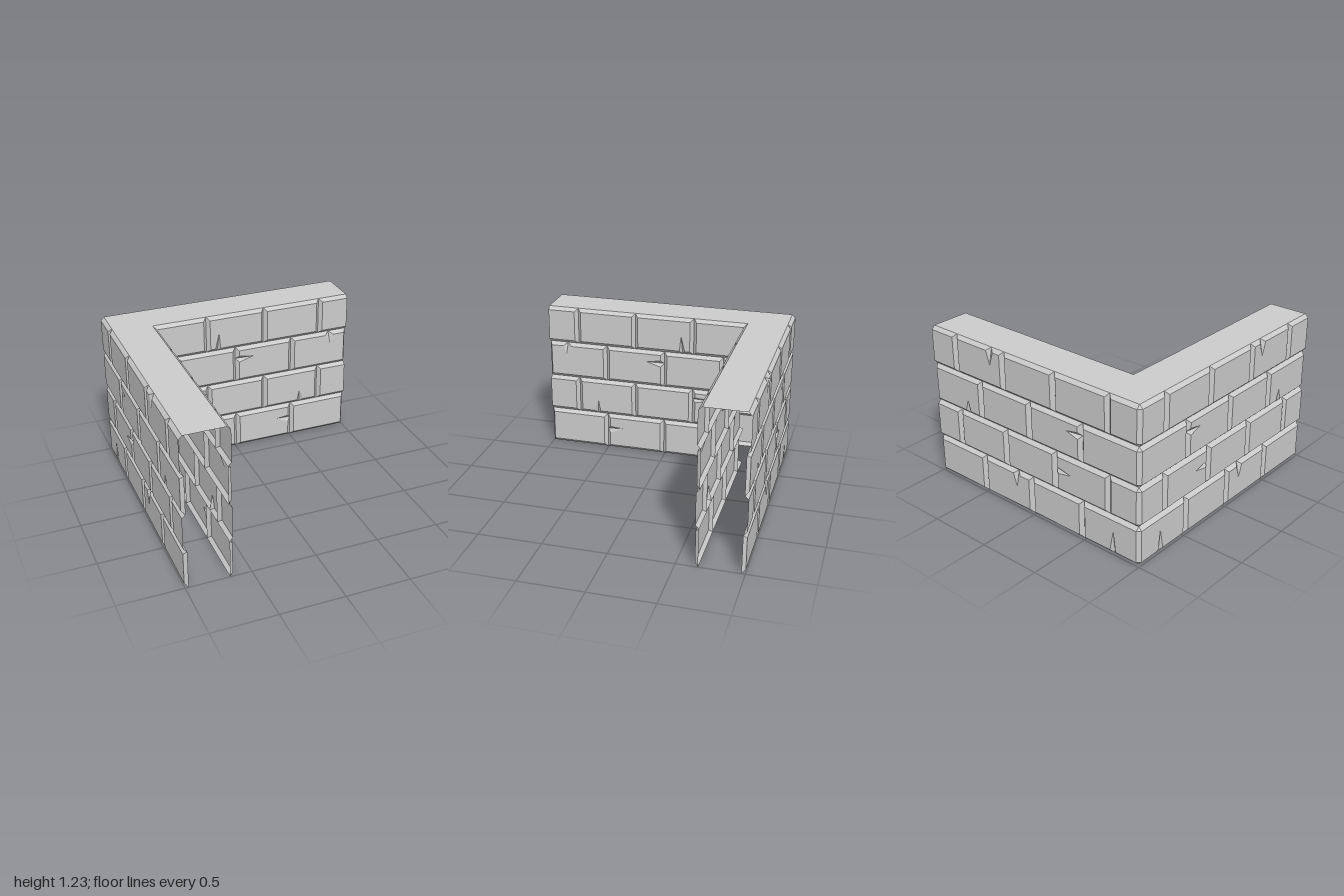
import * as THREE from 'three';

const H = 1.23, ROWS = 4, ROW = H / ROWS;
const B = 0.027;                      // bevel width and brick relief
const OUT = -0.973, IN = -0.665;      // joint planes of the outer and inner skins

// Vertical joints for even and odd courses
const JOINTS = {
  inner: [[-0.48, 0.013, 0.505], [-0.23, 0.26, 0.75]],
  outer: [[-0.48, 0.013, 0.505], [-0.725, -0.23, 0.26, 0.75]],
};

// Chips: row, edge (0 bottom, 1 right, 2 top, 3 left), place on edge, half width, tip
const CHIPS = {
  inner: [
    [3, 0, -0.14, 0.022, [-0.13, 1.08]],
    [2, 3, 0.82, 0.027, [0.16, 0.83]],
    [2, 2, 0.845, 0.035, [0.855, 0.82]],
    [1, 1, 0.53, 0.022, [-0.4, 0.54]],
    [1, 0, 0.59, 0.028, [0.58, 0.43]],
    [0, 1, 0.17, 0.03, [0.37, 0.19]],
  ],
  outer: [
    [3, 2, 0.385, 0.035, [0.385, 1.1]],
    [2, 3, 0.825, 0.027, [-0.35, 0.83]],
    [2, 0, 0.65, 0.025, [0.65, 0.73]],
    [1, 1, 0.48, 0.025, [-0.38, 0.48]],
    [0, 2, 0.165, 0.035, [0.165, 0.18]],
    [0, 0, -0.765, 0.026, [-0.77, 0.19]],
  ],
};

const material = new THREE.MeshStandardMaterial({
  color: 0xcccccc, flatShading: true, side: THREE.DoubleSide,
});

function meshFromTriangles(name, triangles) {
  const geometry = new THREE.BufferGeometry();
  geometry.setAttribute('position', new THREE.Float32BufferAttribute(triangles.flat(2), 3));
  geometry.computeVertexNormals();
  const mesh = new THREE.Mesh(geometry, material);
  mesh.name = name;
  return mesh;
}

// One bevelled brick in wall space (u along, v up, d outward), with optional chips.
// left and right are bevel insets; an edge with open[i] set has no bevel face.
function brick(u0, u1, v0, v1, left, right, open, chips) {
  const base = [[u0, v0], [u1, v0], [u1, v1], [u0, v1]].map(p => [...p, 0]);
  const a = u0 + left, b = u1 - right, c = v0 + B, e = v1 - B;
  const face = [[a, c], [b, c], [b, e], [a, e]].map(p => [...p, B]);
  const tris = [], outline = [];
  const quad = (p, q, r, s) => tris.push([p, q, r], [p, r, s]);

  for (let i = 0; i < 4; i++) {
    const j = (i + 1) % 4;
    outline.push(face[i]);
    const chip = chips.find(k => k[1] === i);
    if (chip) {
      // V-shaped notch that runs from the joint to a point on the face
      const [, , place, w, tip] = chip;
      const at = (p, value) => p.map((x, k) => (k === i % 2 ? value : x));
      const s = i < 2 ? 1 : -1;
      const A = at(face[i], place - s * w), C = at(face[i], place + s * w);
      const V = at(base[i], place), T = [...tip, B];
      quad(base[i], V, A, face[i]);
      quad(V, base[j], face[j], C);
      tris.push([V, T, A], [V, C, T]);
      outline.push(A, T, C);
    } else if (!open[i]) {
      quad(base[i], base[j], face[j], face[i]);
    }
  }

  // Front face around the notches
  const flat = outline.map(p => new THREE.Vector2(p[0], p[1]));
  for (const [i, j, k] of THREE.ShapeUtils.triangulateShape(flat, [])) {
    const ccw = flat[j].clone().sub(flat[i]).cross(flat[k].clone().sub(flat[i])) > 0;
    tris.push(ccw ? [outline[i], outline[j], outline[k]] : [outline[i], outline[k], outline[j]]);
  }
  return tris;
}

// One skin of a wing; swapped exchanges x and z to make the other wing
function wallSkin(name, skin, swapped) {
  const group = new THREE.Group();
  group.name = name;
  const inner = skin === 'inner';
  const place = ([u, v, d]) => {
    const z = inner ? IN + d : OUT - d;
    return swapped ? [z, v, u] : [u, v, z];
  };
  const flip = inner === swapped;
  for (let row = 0; row < ROWS; row++) {
    const stops = [inner ? IN : OUT, ...JOINTS[skin][row % 2], 1];
    for (let i = 0; i < stops.length - 1; i++) {
      const u0 = stops[i], u1 = stops[i + 1];
      const first = i === 0, last = i === stops.length - 2;
      const left = first && !inner ? 0 : B;
      const right = last ? (row % 2 ? 0 : 0.018) : B;
      const chips = CHIPS[skin].filter(k => k[0] === row && k[4][0] > u0 && k[4][0] < u1);
      const tris = brick(u0, u1, row * ROW, (row + 1) * ROW, left, right,
        [false, right === 0, false, first], chips)
        .map(t => t.map(place)).map(t => (flip ? t.reverse() : t));
      group.add(meshFromTriangles('brick', tris));
    }
  }
  return group;
}

// Chamfer down the outer corner, one piece per course
function cornerChamfer() {
  const tris = [], o = OUT - B;
  for (let row = 0; row < ROWS; row++) {
    const v0 = row * ROW, v1 = v0 + ROW;
    const f0 = [OUT, v0 + B, o], g0 = [o, v0 + B, OUT];
    const f1 = [OUT, v1 - B, o], g1 = [o, v1 - B, OUT];
    tris.push([f0, g0, g1], [f0, g1, f1], [f1, g1, [OUT, v1, OUT]], [[OUT, v0, OUT], g0, f0]);
  }
  return meshFromTriangles('cornerChamfer', tris);
}

// Flat L-shaped top
function wallTop() {
  const shape = new THREE.Shape([
    [OUT, -1], [IN, -1], [IN, -IN], [1, -IN], [1, -OUT], [OUT, -OUT],
  ].map(p => new THREE.Vector2(...p)));
  const mesh = new THREE.Mesh(new THREE.ShapeGeometry(shape).rotateX(-Math.PI / 2).translate(0, H, 0), material);
  mesh.name = 'wallTop';
  return mesh;
}

export function createModel() {
  const model = new THREE.Group();
  model.name = 'brickCornerWall';
  model.add(
    wallSkin('backWingInner', 'inner', false),
    wallSkin('backWingOuter', 'outer', false),
    wallSkin('sideWingInner', 'inner', true),
    wallSkin('sideWingOuter', 'outer', true),
    cornerChamfer(),
    wallTop(),
  );
  return model;
}
